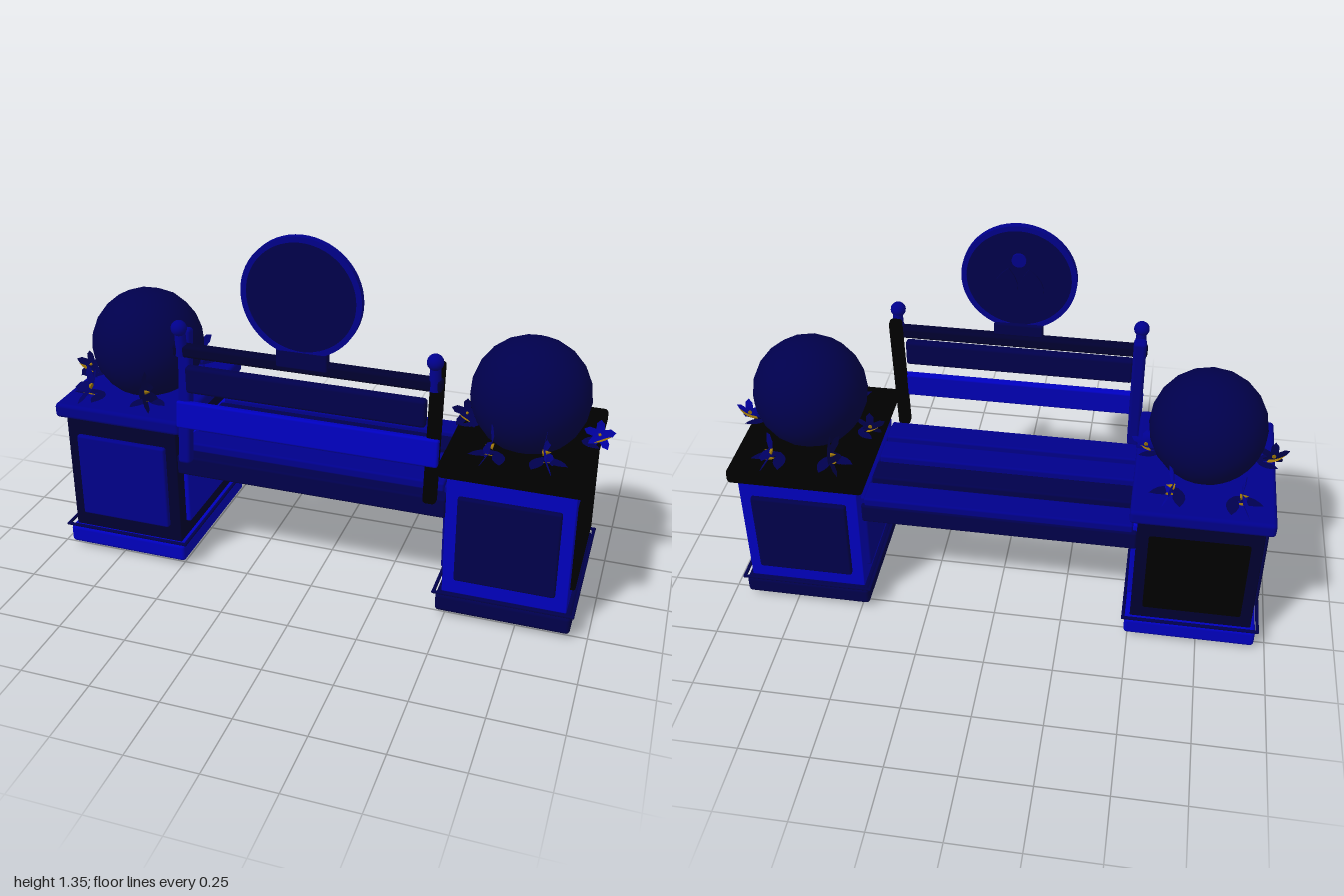
import * as THREE from 'three';
import { RoundedBoxGeometry } from 'three/addons/geometries/RoundedBoxGeometry.js';

function makeMaterial(name, color) {
  const m = new THREE.MeshStandardMaterial({ color });
  m.name = name;
  return m;
}

export function createModel() {
  const model = new THREE.Group();
  model.name = 'planterBench';
  const bright = makeMaterial('bright blue', 0x0000c0);
  const mid = makeMaterial('medium blue', 0x00008c);
  const navy = makeMaterial('navy', 0x00004c);
  const dark = makeMaterial('dark navy', 0x000030);
  const black = makeMaterial('black', 0x000000);
  const petalBlue = makeMaterial('petal blue', 0x0000a8);
  const leafNavy = makeMaterial('leaf navy', 0x000050);
  const gold = makeMaterial('gold', 0xa07808);
  for (const m of [petalBlue, leafNavy, gold]) m.side = THREE.DoubleSide;

  const add = (parent, name, geometry, material, x = 0, y = 0, z = 0) => {
    const mesh = new THREE.Mesh(geometry, material);
    mesh.name = name;
    mesh.position.set(x, y, z);
    parent.add(mesh);
    return mesh;
  };
  const box = (parent, name, w, h, d, material, x, y, z, r = 0.008) =>
    add(parent, name, new RoundedBoxGeometry(w, h, d, 2, Math.min(r, w / 2.1, h / 2.1, d / 2.1)), material, x, y, z);

  // Cupped blossom with five broad pointed petals, opening along +z
  const star = new THREE.Shape();
  for (let i = 0; i < 20; i++) {
    const r = [0.08, 0.062, 0.034, 0.062][i % 4];
    const a = (i / 20) * Math.PI * 2 + Math.PI / 2;
    star[i ? 'lineTo' : 'moveTo'](Math.cos(a) * r, Math.sin(a) * r);
  }
  star.closePath();
  const petals = new THREE.ShapeGeometry(star);
  const pp = petals.attributes.position;
  for (let i = 0; i < pp.count; i++) {
    pp.setZ(i, Math.hypot(pp.getX(i), pp.getY(i)) * 0.4 - 0.02);
  }
  petals.computeVertexNormals();

  // Pointed leaf lying in the xy plane
  const leafShape = new THREE.Shape();
  leafShape.moveTo(0, 0);
  leafShape.quadraticCurveTo(0.045, 0.05, 0, 0.11);
  leafShape.quadraticCurveTo(-0.045, 0.05, 0, 0);
  const leaf = new THREE.ShapeGeometry(leafShape, 5);

  // A blossom standing on edge beside the shrub, with low leaves around it
  function addFlower(parent, x, z, material) {
    const flower = new THREE.Group();
    flower.name = 'flower';
    const corner = Math.abs(z) > 0.1;
    flower.position.set(x, corner ? 0.67 : 0.655, z);
    flower.rotation.set(-0.2, corner ? Math.sign(x) * Math.PI / 2 : 0, 0, 'YXZ');
    flower.scale.setScalar(corner ? 1 : 0.7);
    add(flower, 'petals', petals, material);
    add(flower, 'flowerCentre', new THREE.ConeGeometry(0.012, 0.03, 6).rotateX(Math.PI / 2), gold, 0, 0, 0);
    parent.add(flower);
    const outward = Math.atan2(x, z);
    for (const s of [-1, 1]) {
      const l = add(parent, 'leaf', leaf, leafNavy, x * 0.76, 0.622, z * 0.76);
      l.scale.setScalar(corner ? 1 : 0.75);
      l.rotation.set(1.5, outward + s * 0.6, 0, 'YXZ');
    }
    const sepal = add(parent, 'sepal', leaf, gold, x * 0.9, 0.622, z * 0.9);
    sepal.scale.setScalar(Math.abs(x) > 0.22 ? 0.7 : 0.5);
    sepal.rotation.set(1.1, outward, 0, 'YXZ');
  }

  function addPlanter(name, cx, c, spots) {
    const p = new THREE.Group();
    p.name = name;
    p.position.set(cx, 0, -0.008);
    for (const sx of [-1, 1]) for (const sz of [-1, 1]) {
      const foot = add(p, 'foot', new THREE.SphereGeometry(0.03, 12, 8), c.feet, sx * 0.19, 0.022, sz * 0.24);
      foot.scale.y = 0.73;
    }
    box(p, 'base', 0.472, 0.07, 0.58, c.base, 0, 0.056, 0, 0.014);
    box(p, 'body', 0.435, 0.465, 0.535, c.body, 0, 0.325, 0, 0.004);
    box(p, 'cap', 0.493, 0.055, 0.595, c.cap, 0, 0.583, 0, 0.014);
    // Slim moulding around the foot of the body
    for (const s of [-1, 1]) {
      box(p, 'moulding', 0.495, 0.01, 0.012, navy, 0, 0.1, s * 0.291, 0.004);
      box(p, 'moulding', 0.012, 0.01, 0.595, navy, s * 0.241, 0.1, 0, 0.004);
    }
    // Raised panels
    box(p, 'frontPanel', 0.35, 0.33, 0.03, c.front, 0, 0.32, 0.27);
    box(p, 'backPanel', 0.35, 0.33, 0.03, c.back, 0, 0.32, -0.27);
    box(p, 'leftPanel', 0.03, 0.33, 0.435, c.left, 0.22, 0.32, 0);
    box(p, 'rightPanel', 0.03, 0.33, 0.435, c.right, -0.22, 0.32, 0);
    // Clipped round shrub
    add(p, 'shrub', new THREE.IcosahedronGeometry(0.206, 3), navy, 0.005, 0.771, 0.012);
    spots.forEach(([x, z, m]) => addFlower(p, x, z, m));
    model.add(p);
  }

  addPlanter('rightPlanter', -0.722,
    { body: dark, base: bright, feet: navy, cap: mid, front: mid, back: black, left: bright, right: navy },
    [[-0.13, -0.23, petalBlue], [0.12, -0.21, petalBlue], [-0.235, 0.035, leafNavy],
      [-0.14, 0.225, petalBlue], [0.09, 0.215, leafNavy], [0.215, 0.04, petalBlue]]);
  addPlanter('leftPlanter', 0.704,
    { body: bright, base: navy, feet: mid, cap: black, front: navy, back: navy, left: black, right: mid },
    [[-0.13, -0.22, leafNavy], [0.1, -0.23, petalBlue], [0.245, 0.01, petalBlue],
      [-0.09, 0.225, petalBlue], [0.1, 0.215, petalBlue], [-0.215, -0.01, leafNavy]]);

  // Seat slats and the rails below them
  const cx = -0.01;
  const seat = new THREE.Group();
  seat.name = 'seat';
  model.add(seat);
  [[-0.2, mid], [-0.075, navy], [0.05, mid], [0.172, mid]].forEach(([z, m]) =>
    box(seat, 'seatSlat', 0.96, 0.035, 0.098, m, cx, 0.482, z));
  for (const z of [-0.2, 0.215]) box(seat, 'seatRail', 0.99, 0.075, 0.085, navy, cx, 0.422, z);

  // Leaning posts with ball finials
  const back = new THREE.Group();
  back.name = 'backrest';
  model.add(back);
  [[-0.455, mid], [0.437, black]].forEach(([x, m]) => {
    const post = box(back, 'post', 0.046, 0.5, 0.042, m, x, 0.705, 0.256, 0.012);
    post.rotation.x = -0.115;
    add(back, 'finialNeck', new THREE.CylinderGeometry(0.018, 0.022, 0.09, 12), mid, x, 0.915, 0.272);
    add(back, 'finial', new THREE.SphereGeometry(0.028, 16, 12), mid, x, 0.972, 0.28);
  });
  box(back, 'lowerSlat', 0.94, 0.1, 0.028, bright, cx, 0.645, 0.28).rotation.x = -0.1;
  box(back, 'middleSlat', 0.85, 0.1, 0.036, navy, cx, 0.788, 0.283, 0.012);
  box(back, 'topRail', 0.945, 0.045, 0.042, dark, cx, 0.888, 0.268, 0.012);

  // Round medallion on its support
  const medallion = new THREE.Group();
  medallion.name = 'medallion';
  medallion.position.set(cx, 1.14, 0.286);
  model.add(medallion);
  box(medallion, 'support', 0.18, 0.07, 0.034, navy, 0, -0.22, -0.004);
  const disc = (r, h) => new THREE.CylinderGeometry(r, r, h, 40).rotateX(Math.PI / 2);
  add(medallion, 'disc', disc(0.195, 0.018), navy);
  const ringShape = new THREE.Shape().absarc(0, 0, 0.207, 0, Math.PI * 2, false);
  ringShape.holes.push(new THREE.Path().absarc(0, 0, 0.188, 0, Math.PI * 2, true));
  const ring = new THREE.ExtrudeGeometry(ringShape, { depth: 0.025, bevelEnabled: false, curveSegments: 28 });
  add(medallion, 'rim', ring, mid, 0, 0, -0.0125);
  // Plain leaf relief on the seat side
  const relief = new THREE.ExtrudeGeometry(leafShape, { depth: 0.008, bevelEnabled: false, curveSegments: 6 });
  for (const s of [-1, 1]) {
    const l = add(medallion, 'leafRelief', relief, navy, s * 0.055, -0.11, -0.017);
    l.scale.set(1.9, 1.4, 1);
    l.rotation.z = s * 0.12;
  }
  add(medallion, 'budRelief', disc(0.026, 0.008), mid, 0, 0.075, -0.013);

  return model;
}
